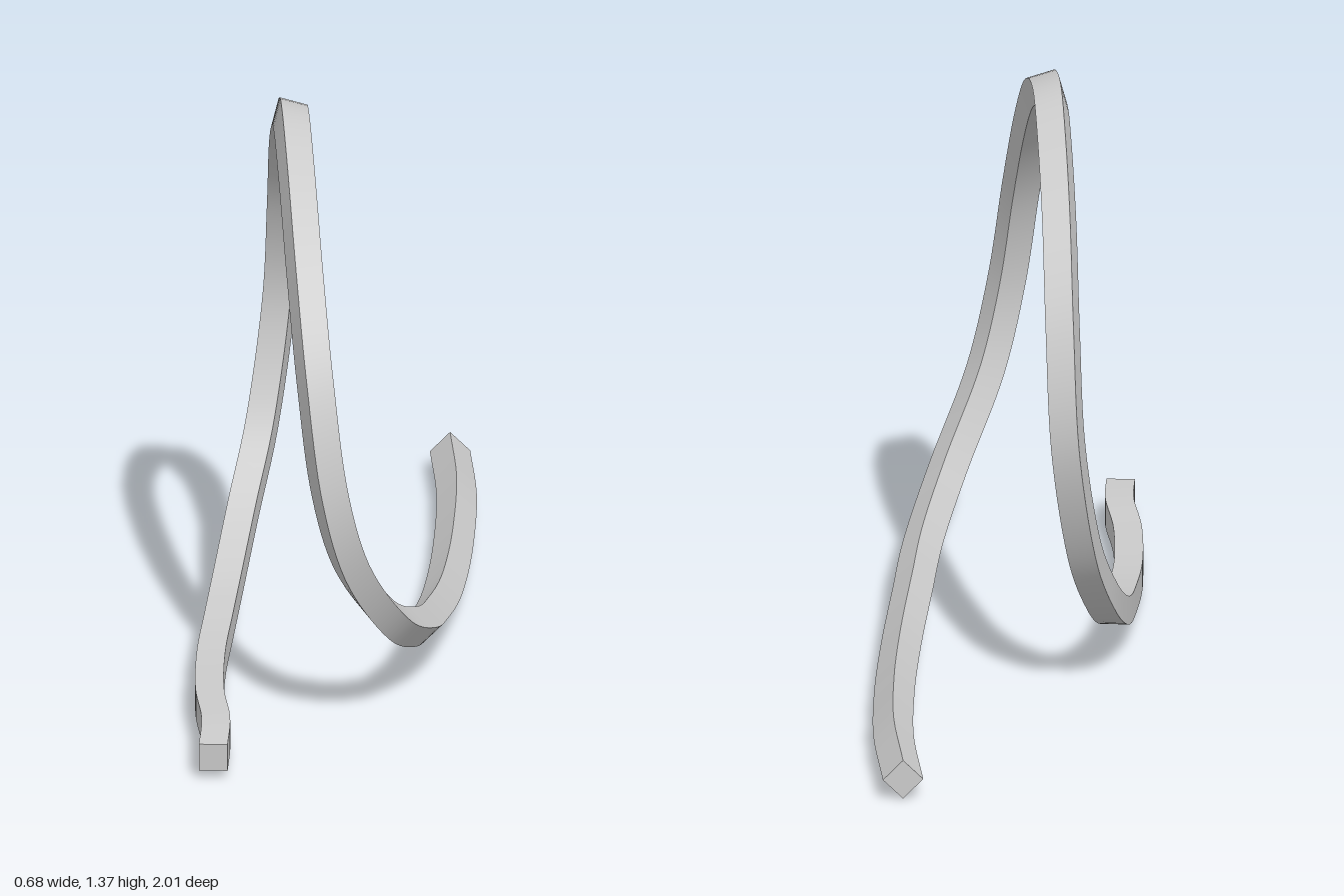
import * as THREE from 'three';

const SIDE = 0.067; // square bar thickness
const STEPS = 180;

// Centre line: in from the front, once around the loop, out to the back
const path = new THREE.CatmullRomCurve3([
  [-0.305, 0.055, 1], [-0.296, 0.062, 0.85], [-0.307, 0.061, 0.65], [-0.299, 0.063, 0.4],
  [-0.278, 0.078, 0.2], [-0.252, 0.115, 0], [-0.213, 0.22, -0.2], [-0.167, 0.38, -0.34],
  [-0.125, 0.67, -0.42], [-0.115, 0.93, -0.36], [-0.113, 1.15, -0.2], [-0.11, 1.28, 0],
  [-0.107, 1.327, 0.17], [-0.098, 1.27, 0.4], [-0.083, 1.11, 0.62], [-0.062, 0.9, 0.765],
  [-0.03, 0.65, 0.815], [0.02, 0.45, 0.77], [0.115, 0.255, 0.62], [0.182, 0.15, 0.4],
  [0.215, 0.1, 0.2], [0.244, 0.067, 0], [0.266, 0.053, -0.2], [0.282, 0.05, -0.4],
  [0.295, 0.054, -0.7], [0.285, 0.052, -1],
].map((p) => new THREE.Vector3(...p)));

// Four corners of the bar at every step; a slight even twist makes it end on edge
function makeRings() {
  const { tangents, normals, binormals } = path.computeFrenetFrames(STEPS, false);
  const n = normals[STEPS], b = binormals[STEPS];
  const quarter = Math.PI / 2;
  const spin = Math.atan2(n.y, n.x);
  const target = Math.round((spin - quarter / 2) / quarter) * quarter + quarter / 2;
  const twist = (target - spin) * Math.sign(n.x * b.y - n.y * b.x);
  const r = SIDE / Math.SQRT2;
  return tangents.map((_, i) => {
    const centre = path.getPointAt(i / STEPS);
    return [0, 1, 2, 3].map((k) => {
      const a = (k + 0.5) * quarter + twist * i / STEPS;
      return centre.clone()
        .addScaledVector(normals[i], r * Math.cos(a))
        .addScaledVector(binormals[i], r * Math.sin(a));
    });
  });
}

function sweepGeometry() {
  const rings = makeRings();
  const points = [], index = [];
  // Sides: separate strips, smooth along the length and sharp at the corners
  for (let k = 0; k < 4; k++) {
    const base = points.length;
    rings.forEach((ring) => points.push(ring[k], ring[(k + 1) % 4]));
    for (let i = 0; i < STEPS; i++) {
      const a = base + i * 2;
      index.push(a, a + 1, a + 3, a, a + 3, a + 2);
    }
  }
  // End caps
  for (const corners of [[...rings[0]].reverse(), rings[STEPS]]) {
    const c = points.length;
    points.push(...corners);
    index.push(c, c + 1, c + 2, c, c + 2, c + 3);
  }
  const geometry = new THREE.BufferGeometry().setFromPoints(points);
  geometry.setIndex(index);
  geometry.computeVertexNormals();
  return geometry;
}

export function createModel() {
  const group = new THREE.Group();
  group.name = 'loopTrack';
  const bar = new THREE.Mesh(sweepGeometry(), new THREE.MeshStandardMaterial({ color: 0xcccccc }));
  bar.name = 'loopedBar';
  group.add(bar);
  return group;
}
